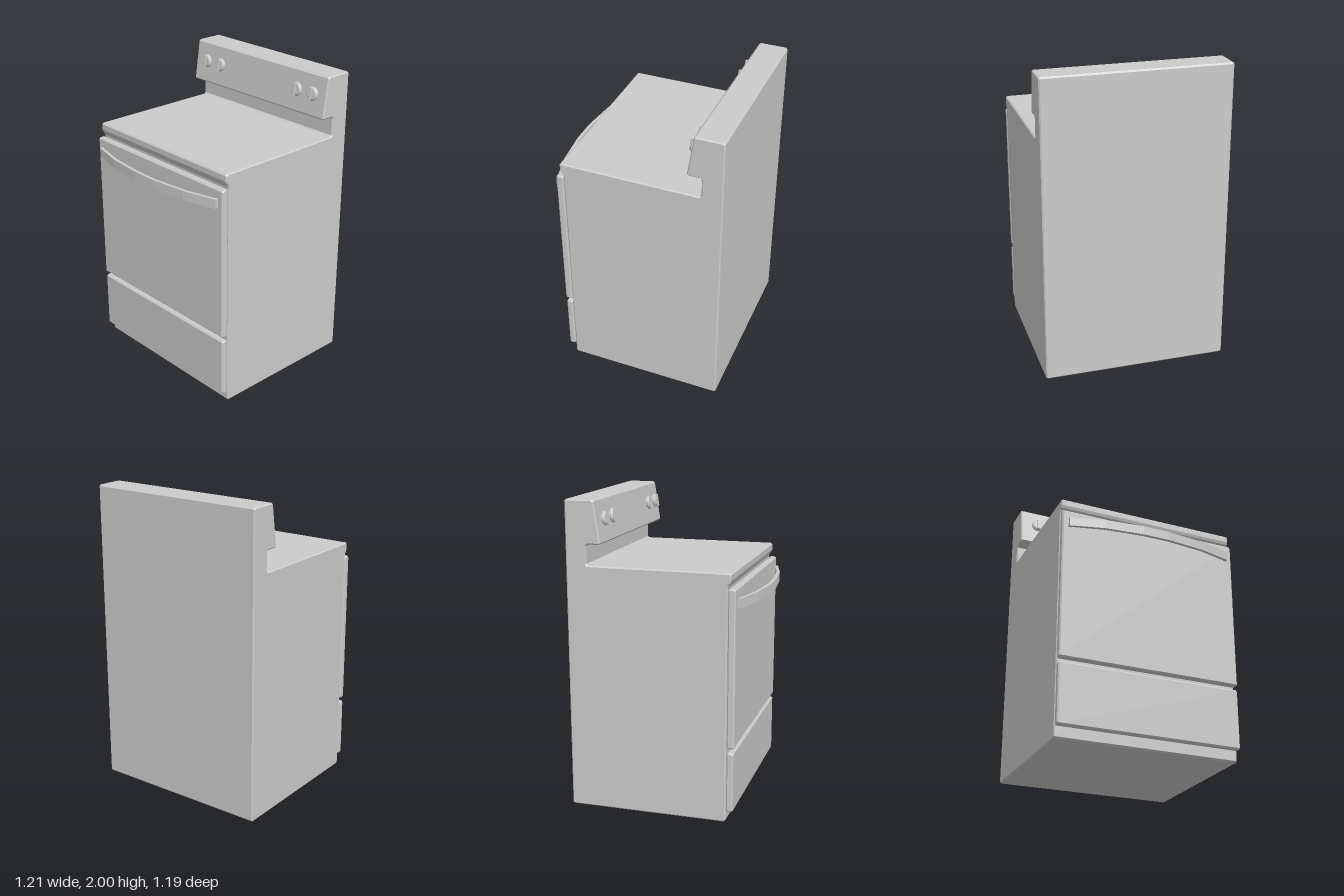
import * as THREE from 'three';

const grey = new THREE.MeshStandardMaterial({ color: 0xcccccc, flatShading: true });
const WIDTH = 1.206;
const BEVEL = 0.008;

// Shape from corner points, each corner cut by a small chamfer c
function chamferedShape(points, c) {
  const corners = points.map(([x, y]) => new THREE.Vector2(x, y));
  const n = corners.length;
  const out = [];
  corners.forEach((p, i) => {
    for (const q of [corners[(i + n - 1) % n], corners[(i + 1) % n]]) {
      const d = q.clone().sub(p);
      out.push(p.clone().addScaledVector(d, Math.min(c / d.length(), 0.4)));
    }
  });
  return new THREE.Shape(out);
}

// Side profile given as [z, y] pairs, extruded across the full width with bevelled ends
function acrossWidth(name, profile, chamfer = 0.01) {
  const geometry = new THREE.ExtrudeGeometry(chamferedShape(profile, chamfer), {
    depth: WIDTH - 2 * BEVEL, bevelEnabled: true, bevelSegments: 1,
    bevelSize: BEVEL, bevelThickness: BEVEL, bevelOffset: -BEVEL,
  });
  geometry.translate(0, 0, -WIDTH / 2 + BEVEL).rotateY(-Math.PI / 2);
  const mesh = new THREE.Mesh(geometry, grey);
  mesh.name = name;
  return mesh;
}

function panel(name, y0, y1, z0, z1) {
  return acrossWidth(name, [[z0, y0], [z1, y0], [z1, y1], [z0, y1]]);
}

// Faceted bow handle, drawn in plan and extruded upward
function createHandle() {
  const outer = [[0.563, 0.48], [0.563, 0.51], [0.34, 0.567], [0.09, 0.594]];
  const inner = [[0.09, 0.572], [0.34, 0.546], [0.544, 0.495], [0.544, 0.48]];
  const half = [...outer, ...inner];
  const mirror = (list) => list.map(([x, z]) => [-x, z]).reverse();
  const outline = [...outer, ...mirror(outer), ...mirror(inner), ...half.slice(4)];
  const shape = new THREE.Shape(outline.map(([x, z]) => new THREE.Vector2(x, -z)));
  const geometry = new THREE.ExtrudeGeometry(shape, { depth: 0.06, bevelEnabled: false });
  geometry.rotateX(-Math.PI / 2);
  const mesh = new THREE.Mesh(geometry, grey);
  mesh.name = 'doorHandle';
  mesh.position.y = 1.38;
  return mesh;
}

// Round control knob with a raised grip, axis along +z
function createKnob() {
  const knob = new THREE.Group();
  knob.name = 'knob';
  const profile = [[0.03, -0.004], [0.03, 0.006], [0.045, 0.01], [0.045, 0.018], [0.034, 0.028], [0, 0.028]];
  const dial = new THREE.Mesh(
    new THREE.LatheGeometry(profile.map(([r, y]) => new THREE.Vector2(r, y)), 20).rotateX(Math.PI / 2),
    grey);
  dial.name = 'knobDial';
  const grip = new THREE.Mesh(new THREE.BoxGeometry(0.011, 0.078, 0.028), grey);
  grip.name = 'knobGrip';
  grip.position.z = 0.025;
  knob.add(dial, grip);
  return knob;
}

export function createModel() {
  const range = new THREE.Group();
  range.name = 'kitchenRange';

  // Cabinet, cooktop lip and backguard share one side profile
  range.add(acrossWidth('cabinet', [
    [-0.595, 0], [0.438, 0], [0.438, 1.515], [0.461, 1.54], [0.461, 1.595],
    [-0.46, 1.595], [-0.46, 1.726], [-0.366, 1.726], [-0.406, 2], [-0.595, 2],
  ]));

  // Front panels
  range.add(panel('ovenDoor', 0.49, 1.5, 0.442, 0.489));
  range.add(panel('storageDrawer', 0.07, 0.465, 0.442, 0.485));
  // Recessed strips joining the panels to the cabinet
  for (const [y, h] of [[0.995, 0.96], [0.267, 0.35]]) {
    const backing = new THREE.Mesh(new THREE.BoxGeometry(1.17, h, 0.02), grey);
    backing.name = 'panelBacking';
    backing.position.set(0, y, 0.44);
    range.add(backing);
  }
  range.add(createHandle());

  // Knobs on the sloped control panel
  for (const x of [-0.484, -0.349, 0.363, 0.499]) {
    const knob = createKnob();
    knob.position.set(x, 1.875, -0.387);
    knob.rotation.x = -Math.atan(0.04 / 0.274);
    range.add(knob);
  }
  return range;
}
